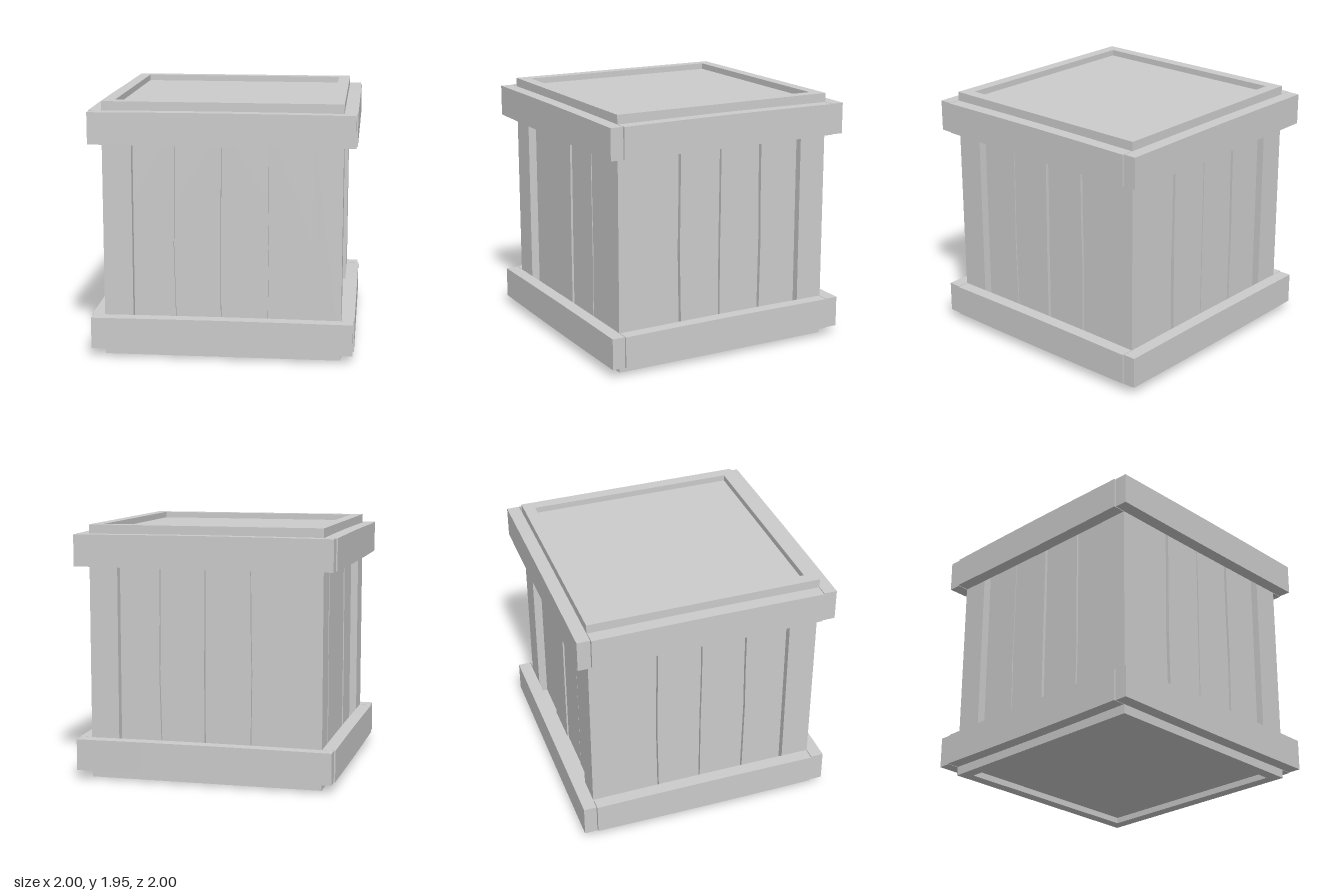
import * as THREE from 'three';

const material = new THREE.MeshStandardMaterial({ color: 0xcccccc, flatShading: true });

function add(parent, name, geometry, x = 0, y = 0, z = 0) {
  const mesh = new THREE.Mesh(geometry, material);
  mesh.name = name;
  mesh.position.set(x, y, z);
  parent.add(mesh);
  return mesh;
}

const box = (w, h, d) => new THREE.BoxGeometry(w, h, d);

// Flat outline given as [x, y] corners, anticlockwise
const outline = (points) => new THREE.Shape(points.map(([x, y]) => new THREE.Vector2(x, y)));
const extrude = (shape, depth) => new THREE.ExtrudeGeometry(shape, { depth, bevelEnabled: false });

// Panel frame with a rectangular opening for the planks
function frameGeometry(halfWidth) {
  const shape = outline([[-halfWidth, 0], [halfWidth, 0], [halfWidth, 1.95], [-halfWidth, 1.95]]);
  shape.holes.push(outline([[-0.68, 0.22], [-0.68, 1.73], [0.68, 1.73], [0.68, 0.22]]));
  return extrude(shape, 0.09);
}

// Seams between planks: left and right edge at four heights
const heights = [0.2, 0.85, 1.2, 1.75];
const seams = [
  [[-0.36, -0.343], [-0.375, -0.355], [-0.368, -0.35], [-0.364, -0.347]],
  [[-0.016, 0.002], [-0.018, 0.002], [-0.015, 0.006], [-0.012, 0.005]],
  [[0.34, 0.358], [0.347, 0.366], [0.34, 0.36], [0.335, 0.358]],
];
const wall = (x) => heights.map(() => [x, x]);

function addPlanks(side) {
  const edges = [wall(-0.69), ...seams, wall(0.69)];
  const fronts = [0.835, 0.845, 0.838, 0.842];
  for (let i = 0; i < 4; i++) {
    const left = edges[i].map((e, k) => [e[1], heights[k]]);
    const right = edges[i + 1].map((e, k) => [e[0], heights[k]]);
    const plank = extrude(outline([...right, ...left.reverse()]), fronts[i] - 0.79);
    add(side, 'plank', plank, 0, 0, 0.79);
  }
}

// Batten whose outer edges bow very slightly along its length
function battenGeometry(length) {
  const g = new THREE.BoxGeometry(length, 0.24, 0.1, 4, 1, 1);
  const p = g.attributes.position;
  for (let i = 0; i < p.count; i++) {
    const bow = 0.005 * Math.cos((p.getX(i) / length) * Math.PI);
    p.setY(i, p.getY(i) + bow * Math.sign(p.getY(i)));
  }
  return g;
}

export function createModel() {
  const crate = new THREE.Group();
  crate.name = 'crate';

  // Inner core: recessed lid, recessed floor and the backing of the planks
  add(crate, 'core', box(1.62, 1.855, 1.62), 0, 0.975, 0);

  // Four sides, the left and right ones fitted between front and back
  ['front', 'left', 'back', 'right'].forEach((label, i) => {
    const side = new THREE.Group();
    side.name = label + 'Side';
    side.rotation.y = (i * Math.PI) / 2;
    const long = i % 2 === 0;
    add(side, 'frame', frameGeometry(long ? 0.9 : 0.81), 0, 0, 0.81);
    addPlanks(side);
    for (const [name, y] of [['lowerBatten', 0.19], ['upperBatten', 1.76]]) {
      add(side, name, battenGeometry(long ? 1.98 : 1.79), 0, y, 0.95);
    }
    crate.add(side);
  });
  return crate;
}
